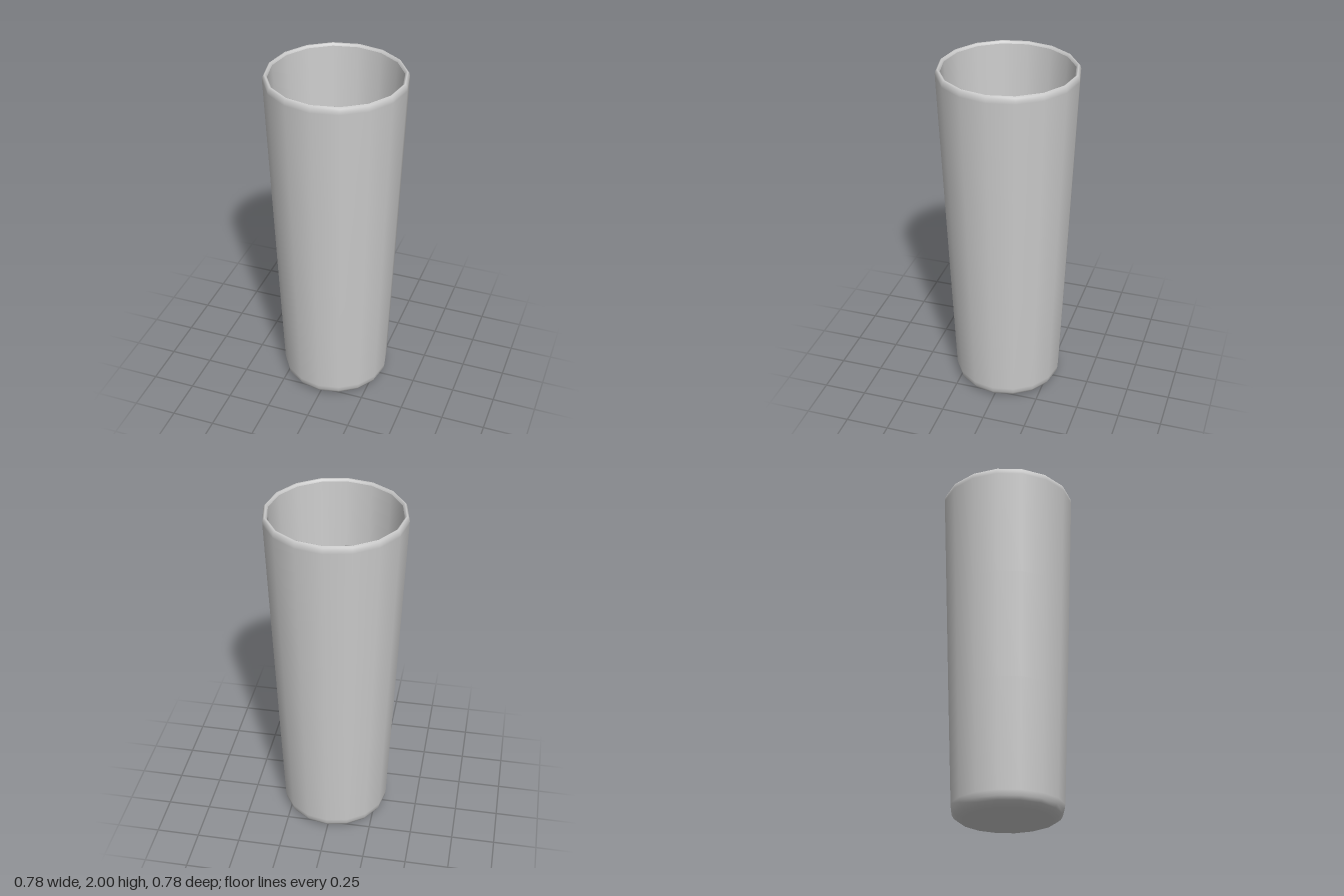
import * as THREE from 'three';

const SIDES = 16;

export function createModel() {
  const group = new THREE.Group();
  group.name = 'tumbler';
  const material = new THREE.MeshStandardMaterial({ color: 0xcccccc });

  // Each profile is turned separately so the joins between them stay sharp
  const turn = (name, profile) => {
    const points = profile.map(([r, y]) => new THREE.Vector2(r, y));
    const mesh = new THREE.Mesh(new THREE.LatheGeometry(points, SIDES), material);
    mesh.name = name;
    group.add(mesh);
  };

  // Flat underside
  turn('base', [[0, 0], [0.25, 0]]);

  // Rounded foot, tapered wall and rounded lip
  turn('outerWall', [
    [0.25, 0], [0.275, 0.008], [0.296, 0.024], [0.308, 0.045], [0.313, 0.075],
    [0.339, 0.7], [0.364, 1.33], [0.389, 1.96], [0.389, 1.975],
    [0.384, 1.992], [0.376, 2], [0.368, 1.996], [0.363, 1.985],
  ]);

  // Inside of the glass, running down to the floor
  turn('innerWall', [[0.363, 1.985], [0.331, 1.35], [0.299, 0.71], [0.267, 0.08]]);

  // Floor with a slight rise in the middle
  turn('innerFloor', [[0.267, 0.08], [0.2, 0.082], [0.15, 0.089], [0.1, 0.096], [0.01, 0.1], [0, 0.1]]);

  return group;
}
